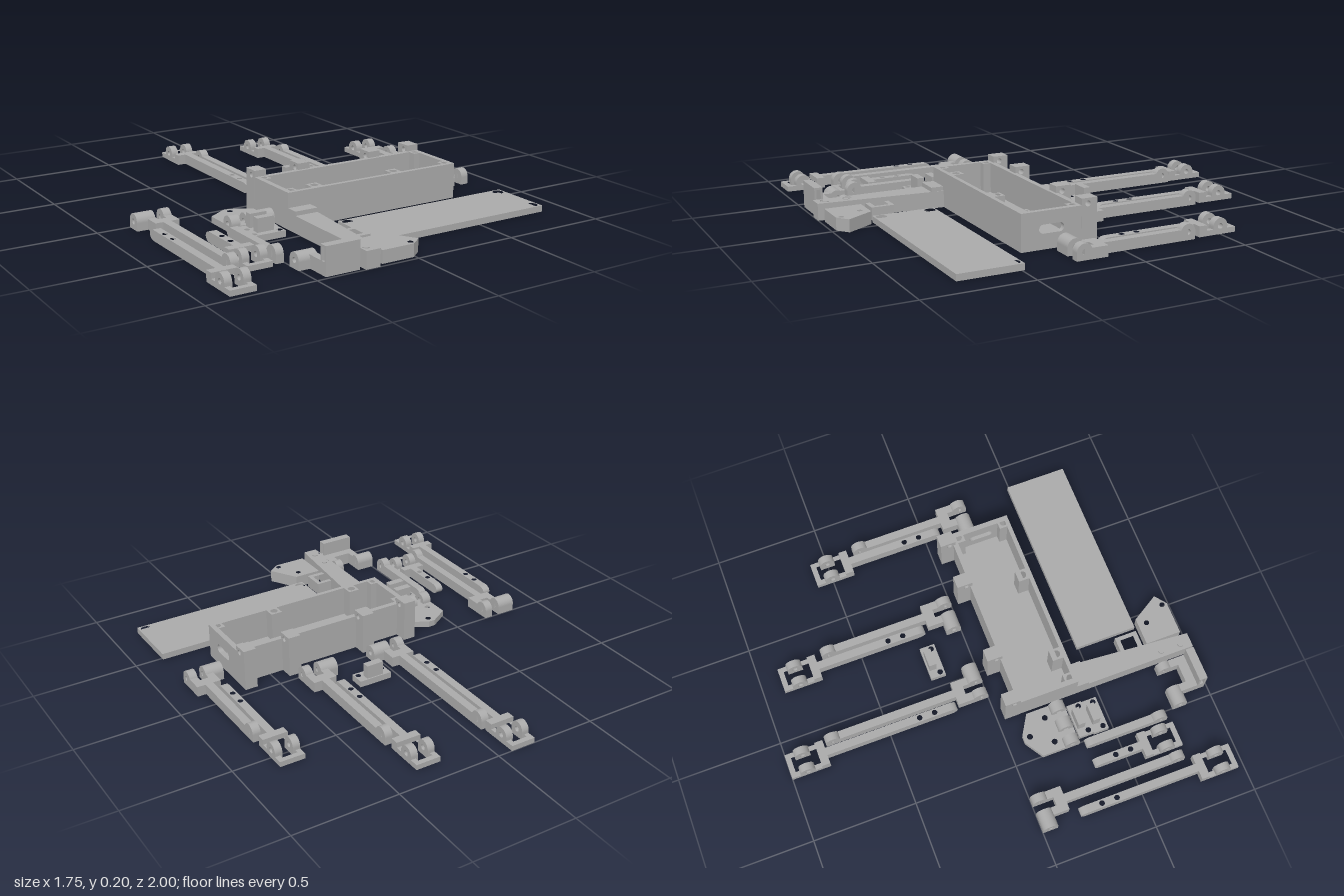
import * as THREE from 'three';

const grey = new THREE.MeshStandardMaterial({ color: 0xaaaaaa });
grey.name = 'grey plastic';

function add(parent, name, geo) {
  const m = new THREE.Mesh(geo, grey);
  m.name = name;
  parent.add(m);
  return m;
}
function group(parent, name, x = 0, z = 0, turn = 0) {
  const g = new THREE.Group();
  g.name = name;
  g.position.set(x, 0, z);
  g.rotation.y = turn;
  parent.add(g);
  return g;
}
// Box given by its limits
function box(p, name, x0, x1, y0, y1, z0, z1) {
  const g = new THREE.BoxGeometry(x1 - x0, y1 - y0, z1 - z0);
  g.translate((x0 + x1) / 2, (y0 + y1) / 2, (z0 + z1) / 2);
  return add(p, name, g);
}
const circle = (x, y, r) => new THREE.Path().absarc(x, y, r, 0, Math.PI * 2, true);
const rect = (x0, x1, z0, z1) => [[x0, z0], [x1, z0], [x1, z1], [x0, z1]];

// Flat plate: outline in x,z, round holes [x, z, r] and polygon cutouts, raised from y0 to y1
function plate(p, name, pts, y0, y1, holes = [], cuts = []) {
  const flip = (a) => a.map(([x, z]) => new THREE.Vector2(x, -z));
  const s = new THREE.Shape(flip(pts));
  for (const [x, z, r] of holes) s.holes.push(circle(x, -z, r));
  for (const c of cuts) s.holes.push(new THREE.Path(flip(c)));
  const g = new THREE.ExtrudeGeometry(s, { depth: y1 - y0, bevelEnabled: false, curveSegments: 12 });
  g.rotateX(-Math.PI / 2).translate(0, y0, 0);
  return add(p, name, g);
}
// Side profile (u = -z, v = y) swept along x
function sweepX(p, name, shape, x0, x1) {
  const g = new THREE.ExtrudeGeometry(shape, { depth: x1 - x0, bevelEnabled: false, curveSegments: 16 });
  g.rotateY(Math.PI / 2).translate(x0, 0, 0);
  return add(p, name, g);
}
// Hinge eye: round top on a straight foot
function eye(p, name, x0, x1, z, r = 0.037, hole = 0.013) {
  const s = new THREE.Shape();
  s.moveTo(-z - r, 0).lineTo(-z + r, 0).lineTo(-z + r, 0.037);
  s.absarc(-z, 0.037, r, 0, Math.PI, false);
  s.lineTo(-z - r, 0);
  if (hole) s.holes.push(circle(-z, 0.037, hole));
  return sweepX(p, name, s, x0, x1);
}
// Rounded low end of a rod, facing +z
function roundEnd(p, z, w) {
  const s = new THREE.Shape();
  s.moveTo(-z, 0).lineTo(-z, 0.05);
  s.absellipse(-z, 0.025, 0.035, 0.025, Math.PI / 2, Math.PI * 1.5, false);
  sweepX(p, 'rodEnd', s, -w, w);
}

// Fingertip link: open hinge frame at -z, drilled rod ending at z = 0
function frameLink(root, x, z, len, turn = 0) {
  const g = group(root, 'frameLink', x, z, turn);
  plate(g, 'hingeFrame', rect(-0.06, 0.06, -len, 0.19 - len), 0, 0.025, [],
    [rect(-0.036, 0.036, 0.025 - len, 0.15 - len)]);
  box(g, 'frameNeck', -0.06, 0.06, 0.025, 0.05, 0.15 - len, 0.19 - len);
  for (const s of [-1, 1]) eye(g, 'frameEye', s < 0 ? -0.06 : 0.025, s < 0 ? -0.025 : 0.06, 0.08 - len);
  plate(g, 'rod', rect(-0.019, 0.019, 0.19 - len, -0.035), 0, 0.05,
    [[0, -0.11, 0.013], [0, -0.185, 0.013]]);
  roundEnd(g, -0.035, 0.019);
}
// Base link: rod with an eye at -z, fork with a long hinge barrel ending at z = 0
function forkLink(root, x, z, len, side, turn = 0) {
  const g = group(root, 'forkLink', x, z, turn);
  const span = (a, b) => (side > 0 ? [a, b] : [-b, -a]);
  box(g, 'rod', -0.019, 0.019, 0, 0.05, 0.037 - len, -0.14);
  eye(g, 'rodEye', -0.019, 0.019, 0.037 - len);
  box(g, 'forkBar', ...span(-0.06, 0.057), 0, 0.05, -0.15, -0.1);
  box(g, 'forkProng', ...span(-0.06, -0.021), 0, 0.05, -0.11, -0.037);
  box(g, 'forkProng', ...span(0.02, 0.057), 0, 0.05, -0.11, -0.037);
  eye(g, 'forkEye', ...span(-0.06, -0.021), -0.037);
  eye(g, 'hingeBarrel', ...span(0.02, 0.11), -0.037);
}
// Small screw bracket with upright tab
function bracket(root, x, z) {
  const g = group(root, 'bracket', x, z);
  plate(g, 'bracketBase', rect(-0.082, 0.082, -0.037, 0.037), 0, 0.03,
    [[-0.063, 0.015, 0.013], [0.063, 0.015, 0.013]]);
  box(g, 'bracketTab', -0.042, 0.042, 0.03, 0.095, -0.03, 0.005);
}

function buildTray(root) {
  const g = group(root, 'forearmTray');
  // Floor, walls and slotted end
  box(g, 'trayFloor', -0.265, 0.66, 0, 0.025, 0.1, 0.4);
  box(g, 'backWall', -0.265, 0.66, 0.025, 0.17, 0.1, 0.125);
  box(g, 'frontWall', -0.265, 0.66, 0.025, 0.17, 0.38, 0.4);
  box(g, 'leftWall', -0.265, -0.24, 0.025, 0.17, 0.125, 0.38);
  const end = new THREE.Shape([[-0.38, 0.025], [-0.125, 0.025], [-0.125, 0.17], [-0.38, 0.17]]
    .map(([a, b]) => new THREE.Vector2(a, b)));
  const slot = new THREE.Path();
  slot.absarc(-0.295, 0.09, 0.02, Math.PI / 2, Math.PI * 1.5, false);
  slot.absarc(-0.215, 0.09, 0.02, -Math.PI / 2, Math.PI / 2, false);
  slot.closePath();
  end.holes.push(slot);
  sweepX(g, 'slottedWall', end, 0.635, 0.66);
  // Screw posts
  for (const [x, z] of [[-0.235, 0.135], [0.63, 0.135], [-0.235, 0.37], [0.63, 0.37], [-0.1, 0.355], [0.335, 0.355]]) {
    plate(g, 'screwPost', rect(x - 0.028, x + 0.028, z - 0.028, z + 0.028), 0.025, 0.17, [[x, z, 0.018]]);
  }
  // Drilled hinge tabs behind the back wall
  for (const x of [-0.235, 0, 0.4, 0.63]) {
    const s = new THREE.Shape([[-0.11, 0], [-0.035, 0], [-0.035, 0.2], [-0.11, 0.2]]
      .map(([a, b]) => new THREE.Vector2(a, b)));
    s.holes.push(circle(-0.08, 0.175, 0.013));
    sweepX(g, 'hingeTab', s, x - 0.031, x + 0.031);
  }
  // Tapered arm with two screw bosses and a side loop
  plate(g, 'taperedArm', [[-0.265, 0.4], [-0.145, 0.4], [-0.195, 1], [-0.265, 1]], 0, 0.07);
  plate(g, 'armTop', [[-0.265, 0.4], [-0.145, 0.4], [-0.195, 1], [-0.265, 1]], 0.07, 0.08,
    [[-0.233, 0.85, 0.026], [-0.233, 0.95, 0.026]]);
  for (const z of [0.85, 0.95]) {
    const c = new THREE.CylinderGeometry(0.014, 0.014, 0.01, 20);
    add(g, 'screwBoss', c.translate(-0.233, 0.074, z));
  }
  box(g, 'armStep', -0.265, -0.15, 0.08, 0.1, 0.4, 0.46);
  plate(g, 'sideLoop', rect(-0.19, -0.09, 0.67, 0.78), 0, 0.06, [], [rect(-0.175, -0.11, 0.69, 0.757)]);
}

function buildPalm(root) {
  const g = group(root, 'wristPlate');
  plate(g, 'pointedPlate', [[-0.505, 0.135], [-0.415, 0.078], [-0.38, 0.078], [-0.285, 0.135], [-0.285, 0.32], [-0.505, 0.32]],
    0, 0.03, [[-0.397, 0.11, 0.014], [-0.46, 0.21, 0.014], [-0.335, 0.21, 0.014]]);
  for (const [a, b] of [[-0.505, -0.46], [-0.425, -0.37], [-0.335, -0.285]]) eye(g, 'wristEye', a, b, 0.283);
  bracket(root, -0.4, 0.365);
  bracket(root, -0.405, 0.438);
}

function buildThumbBase(root) {
  const g = group(root, 'thumbBase');
  eye(g, 'hingeBarrel', -0.505, -0.413, 0.835, 0.035);
  eye(g, 'hingeEye', -0.323, -0.285, 0.835, 0.035);
  box(g, 'prong', -0.45, -0.413, 0, 0.06, 0.835, 0.91);
  box(g, 'prong', -0.323, -0.285, 0, 0.06, 0.835, 0.91);
  box(g, 'crossBar', -0.45, -0.285, 0, 0.06, 0.9, 0.985);
  // Hollow upright sleeve
  box(g, 'sleeveBack', -0.45, -0.285, 0.06, 0.13, 0.945, 0.955);
  box(g, 'sleeveFront', -0.45, -0.285, 0.06, 0.13, 0.975, 0.985);
  box(g, 'sleeveTop', -0.45, -0.285, 0.12, 0.13, 0.955, 0.975);
}

export function createModel() {
  const root = new THREE.Group();
  root.name = 'handParts';
  buildTray(root);
  buildPalm(root);
  buildThumbBase(root);
  bracket(root, 0.122, -0.188);

  // Finger links
  frameLink(root, -0.13, -0.16, 0.84);
  frameLink(root, 0.29, -0.17, 0.73);
  frameLink(root, 0.757, 0.08, 0.66);
  frameLink(root, -0.817, 0.19, 0.78, Math.PI);
  frameLink(root, -0.625, 0.34, 0.43, Math.PI);
  forkLink(root, -0.075, 0, 0.8, 1);
  forkLink(root, 0.345, 0, 0.68, -1);
  forkLink(root, 0.81, 0.25, 0.61, -1);
  forkLink(root, -0.732, 0, 0.75, 1, Math.PI);

  // Plain thumb rod
  const rod = group(root, 'thumbRod', -0.522, 0.34, Math.PI);
  box(rod, 'rod', -0.019, 0.019, 0, 0.05, -0.375, -0.035);
  eye(rod, 'rodEye', -0.019, 0.019, -0.375);
  roundEnd(rod, -0.035, 0.019);

  // Tray lid with recessed screw holes
  const lid = group(root, 'lid');
  const outline = rect(-0.06, 0.868, 0.488, 0.79);
  const holes = [];
  for (const x of [-0.03, 0.835]) for (const z of [0.52, 0.758]) holes.push([x, z, 0.026]);
  plate(lid, 'lidBase', outline, 0, 0.015);
  plate(lid, 'lidTop', outline, 0.015, 0.03, holes);

  // Five-sided cover
  plate(root, 'cover', [[-0.17, 0.803], [-0.035, 0.803], [0.045, 0.935], [-0.01, 0.978], [-0.17, 0.978]],
    0, 0.06, [[-0.07, 0.845, 0.013], [-0.01, 0.953, 0.013]]);
  return root;
}
